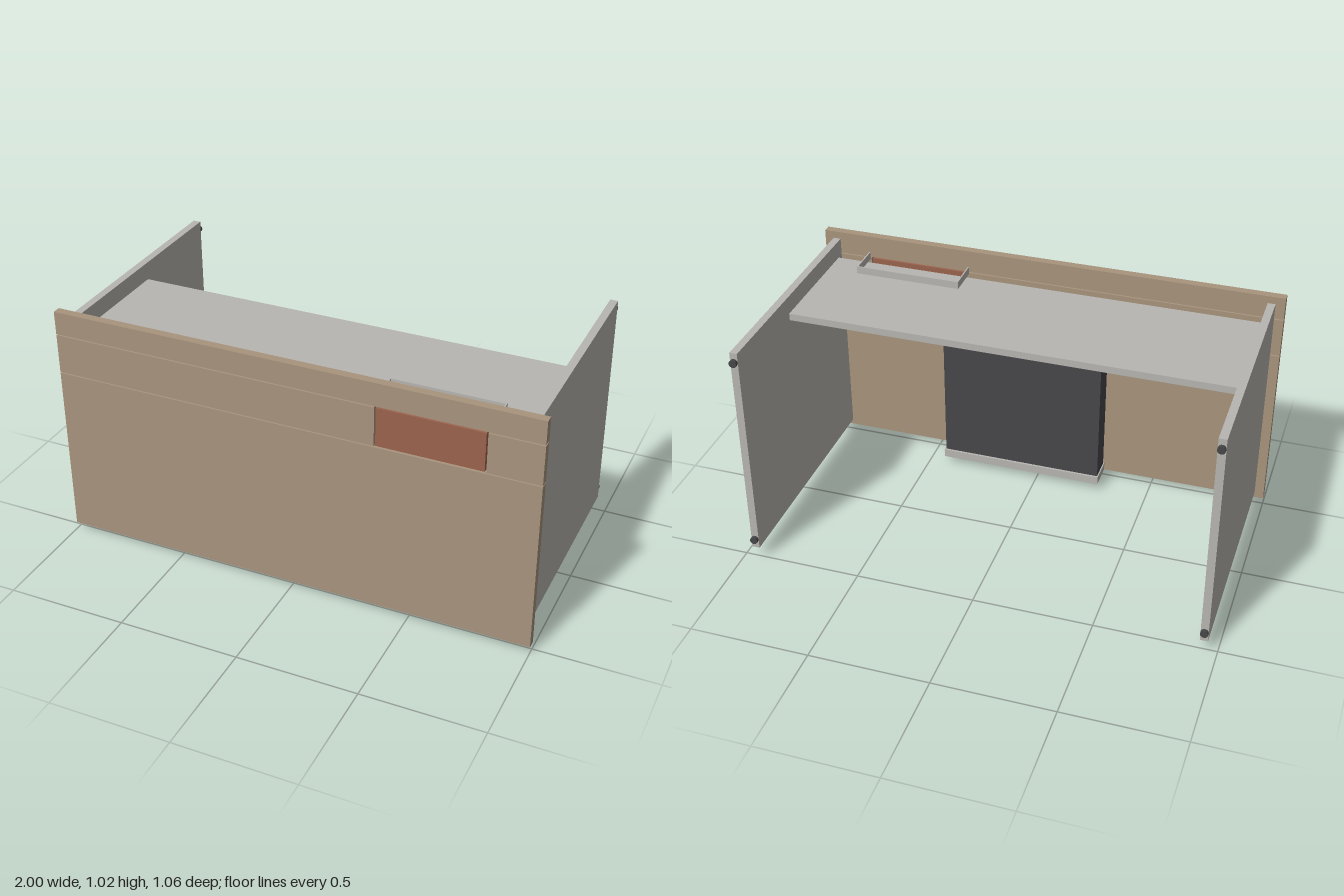
import * as THREE from 'three';

const mat = (name, color) => {
  const m = new THREE.MeshStandardMaterial({ color });
  m.name = name;
  return m;
};

export function createModel() {
  const root = new THREE.Group();
  root.name = 'counter';
  const wood = mat('wood', 0xa8947d);
  const grey = mat('light grey', 0xb8b6b1);
  const red = mat('red brown', 0x9b634e);
  const dark = mat('charcoal', 0x47474a);
  const copper = mat('copper', 0xa55f40);

  // box given by its limits on each axis
  const box = (name, m, x0, x1, y0, y1, z0, z1, parent = root) => {
    const mesh = new THREE.Mesh(new THREE.BoxGeometry(x1 - x0, y1 - y0, z1 - z0), m);
    mesh.position.set((x0 + x1) / 2, (y0 + y1) / 2, (z0 + z1) / 2);
    mesh.name = name;
    parent.add(mesh);
    return mesh;
  };

  // front panel boards, with narrow gaps and a hatch
  const front = new THREE.Group();
  front.name = 'frontPanel';
  root.add(front);
  const Z0 = 0.495, Z1 = 0.53;
  box('lowerBoard', wood, -1, 1, 0.03, 0.753, Z0, Z1, front);
  box('middleBoardRight', wood, -1, 0.353, 0.758, 0.923, Z0, Z1, front);
  box('middleBoardLeft', wood, 0.789, 1, 0.758, 0.923, Z0, Z1, front);
  box('hatchDoor', red, 0.359, 0.783, 0.761, 0.922, Z0, Z1, front);
  box('topBoard', wood, -1, 1, 0.928, 1.025, Z0, Z1, front);

  // side panels with bumper feet on the rear edge
  for (const s of [-1, 1]) {
    const x = 0.945 * s;
    box('sidePanel', grey, x - 0.016, x + 0.016, 0.055, 0.995, -0.515, 0.493);
    for (const y of [0.098, 0.955]) {
      const foot = new THREE.Mesh(new THREE.CylinderGeometry(0.016, 0.016, 0.016, 20), dark);
      foot.rotation.x = Math.PI / 2;
      foot.position.set(x, y, -0.522);
      foot.name = 'rearFoot';
      root.add(foot);
    }
  }

  // worktop and the low rim around the hatch slot
  box('worktop', grey, -0.93, 0.93, 0.89, 0.92, -0.053, 0.46);
  box('hatchRimBack', grey, 0.342, 0.798, 0.92, 0.952, 0.352, 0.358);
  box('hatchRimSide', grey, 0.342, 0.348, 0.92, 0.952, 0.358, 0.492);
  box('hatchRimSide', grey, 0.792, 0.798, 0.92, 0.952, 0.358, 0.492);

  // pull-down screen between a top rail and a bottom rail
  box('screenTopRail', grey, -0.285, 0.43, 0.86, 0.888, 0.37, 0.488);
  box('screenBody', dark, -0.28, 0.425, 0.07, 0.86, 0.38, 0.484);
  box('screenBottomRail', grey, -0.285, 0.43, 0.034, 0.07, 0.37, 0.488);

  // handle under the bottom rail
  const handle = new THREE.Group();
  handle.name = 'handle';
  root.add(handle);
  box('handleBar', copper, -0.042, 0.18, 0, 0.014, 0.442, 0.456, handle);
  for (const x of [-0.027, 0.165]) {
    const post = new THREE.Mesh(new THREE.CylinderGeometry(0.006, 0.006, 0.022, 16), copper);
    post.position.set(x, 0.024, 0.449);
    post.name = 'handlePost';
    handle.add(post);
  }
  return root;
}
